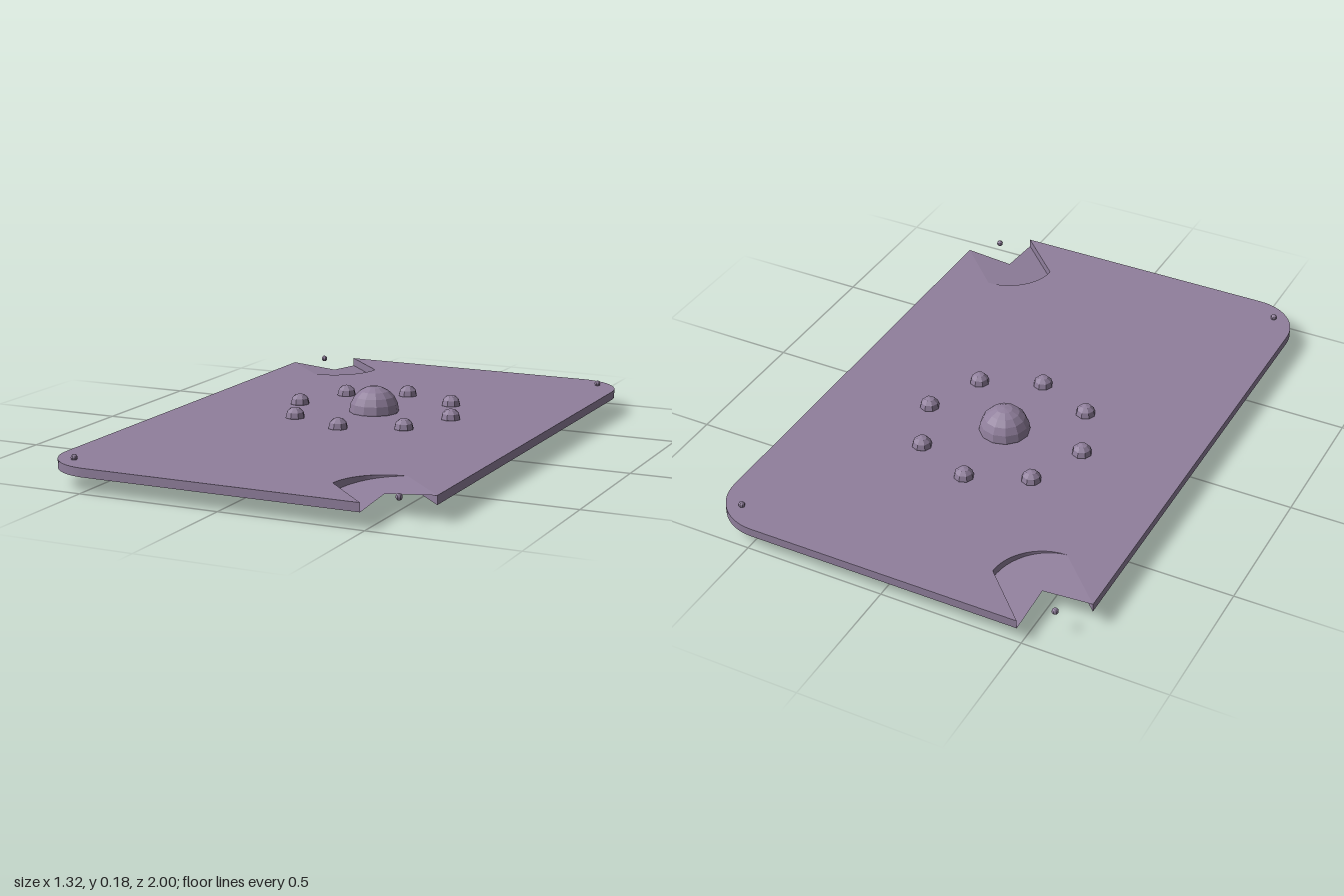
import * as THREE from 'three';
import { toCreasedNormals } from 'three/addons/utils/BufferGeometryUtils.js';

const X = 0.66, Z = 1, R = 0.175, CX = X - R, CZ = Z - R;
const BOTTOM = 0.055, TOP = 0.085, MID = (BOTTOM + TOP) / 2;
const RING_Z = -0.148;

const arc = (cx, cz, from, to, n = 12) =>
  Array.from({ length: n + 1 }, (_, i) => {
    const a = from + ((to - from) * i) / n;
    return [cx + R * Math.cos(a), cz + R * Math.sin(a)];
  });

// half an outline plus the same half turned by 180 degrees
const both = (half) => [...half, ...half.map(([x, z]) => [-x, -z])];

// flat horizontal face from x/z points, facing up or down
function flatFace(pts, y, up) {
  const g = new THREE.ShapeGeometry(new THREE.Shape(pts.map(([x, z]) => new THREE.Vector2(x, z))));
  g.rotateX(Math.PI / 2);
  if (up) g.index.array.reverse();
  g.computeVertexNormals();
  return g.translate(0, y, 0);
}

// vertical wall following a closed ring of x/z points
function wall(ring) {
  const v = [];
  ring.forEach(([ax, az], i) => {
    const [bx, bz] = ring[(i + 1) % ring.length];
    v.push(ax, BOTTOM, az, bx, BOTTOM, bz, bx, TOP, bz);
    v.push(ax, BOTTOM, az, bx, TOP, bz, ax, TOP, az);
  });
  const g = new THREE.BufferGeometry();
  g.setAttribute('position', new THREE.Float32BufferAttribute(v, 3));
  return toCreasedNormals(g, 0.5);
}

// ramp filling a pocket, from the bottom face on one side to the top face on the other
function ramp(pts) {
  const g = flatFace(pts, MID, true);
  const p = g.attributes.position;
  for (let i = 0; i < p.count; i++) {
    const across = (p.getZ(i) + CZ - p.getX(i) - CX) / R;
    p.setY(i, MID + (across * (TOP - BOTTOM)) / 2);
  }
  g.computeVertexNormals();
  return g;
}

export function createModel() {
  const model = new THREE.Group();
  const color = 0x907f9c;
  const smooth = new THREE.MeshStandardMaterial({ color });
  const thin = new THREE.MeshStandardMaterial({ color, side: THREE.DoubleSide });
  const faceted = new THREE.MeshStandardMaterial({ color, flatShading: true });

  const add = (parent, name, geometry, material) => {
    const mesh = new THREE.Mesh(geometry, material);
    mesh.name = name;
    parent.add(mesh);
    return mesh;
  };

  // Plate: two rounded corners, two corners cut back to a curved pocket
  const plate = new THREE.Group();
  plate.name = 'plate';
  model.add(plate);
  const rounded = arc(CX, -CZ, 0, -Math.PI / 2);
  const pocketArc = arc(-CX, -CZ, 0, Math.PI / 2);
  const pocketStart = [-CX, -Z], pocketEnd = [-X, -CZ];
  const ring = both([...rounded, pocketStart, ...pocketArc, pocketEnd]);
  add(plate, 'plateTop', flatFace(ring, TOP, true), smooth);
  add(plate, 'plateBottom', flatFace(ring, BOTTOM, false), smooth);
  add(plate, 'plateWall', wall(ring), thin);

  // Sloping fill in each pocket, leaving a square notch
  const fill = ramp([pocketStart, ...pocketArc, pocketEnd, [-CX, -CZ]]);
  for (const angle of [0, Math.PI])
    add(plate, 'pocketRamp', fill, thin).rotation.y = angle;

  // Large central ball set through the plate
  add(model, 'centerBall', new THREE.SphereGeometry(0.0885, 12, 10), faceted)
    .position.set(0, 0.0885, RING_Z);

  // Ring of eight studs
  const stud = new THREE.SphereGeometry(0.035, 8, 6);
  for (let i = 0; i < 8; i++) {
    const a = (i * Math.PI) / 4;
    add(model, 'stud', stud, faceted)
      .position.set(0.295 * Math.cos(a), 0.088, RING_Z + 0.295 * Math.sin(a));
  }

  // Tiny pin at each corner
  const pin = new THREE.SphereGeometry(0.0115, 8, 6);
  for (const sx of [-1, 1])
    for (const sz of [-1, 1])
      add(model, 'cornerPin', pin, faceted).position.set(sx * 0.573, 0.092, sz * 0.913);

  return model;
}
